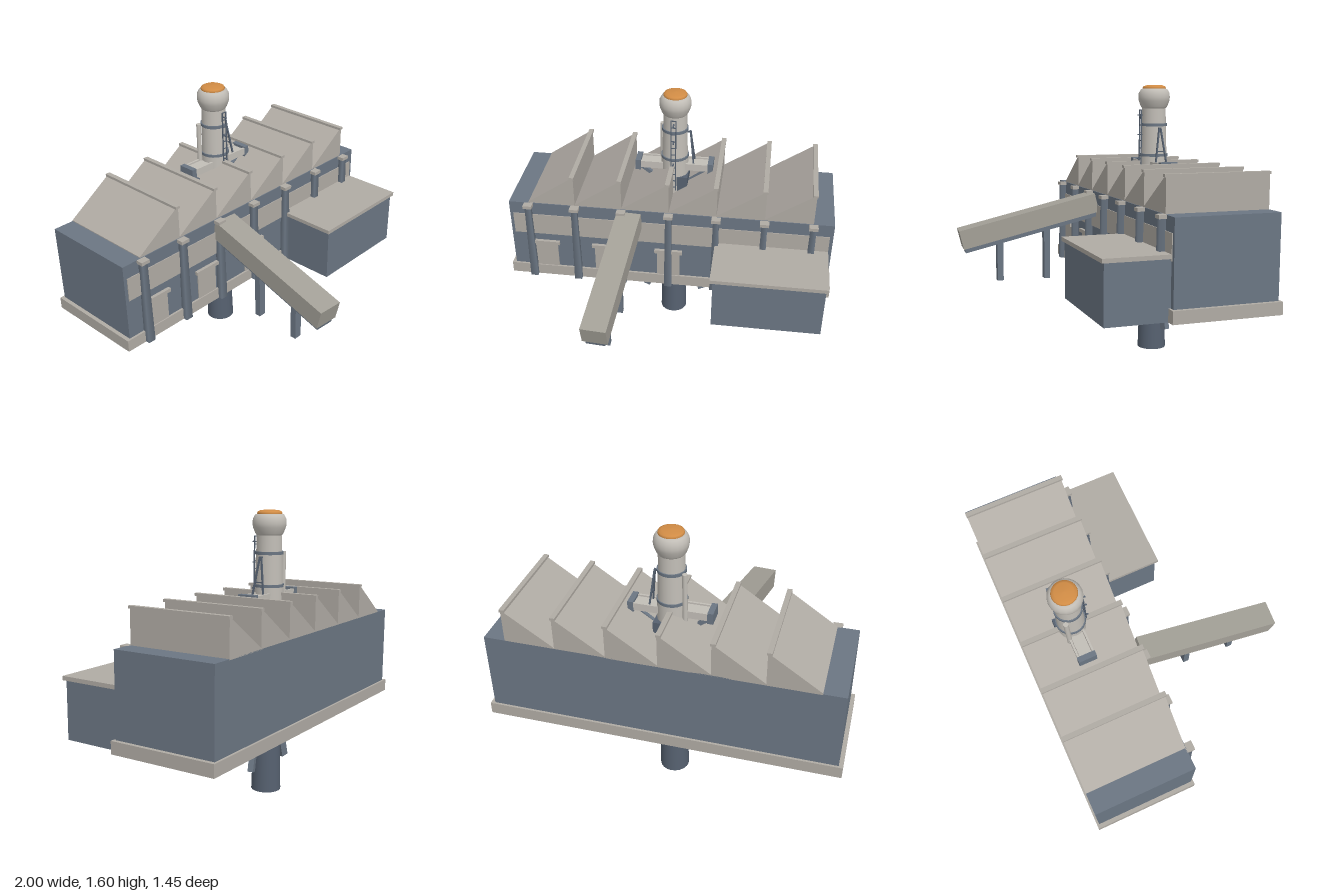
import * as THREE from 'three';

const mat = (name, color) => {
  const m = new THREE.MeshStandardMaterial({ color });
  m.name = name;
  return m;
};

export function createModel() {
  const root = new THREE.Group();
  root.name = 'factory';
  const slate = mat('slate', 0x6b7683);
  const stone = mat('stone', 0xb0aba4);
  const conveyorGrey = mat('conveyorGrey', 0xa3a097);
  const pale = mat('paleMetal', 0xc2beb7);
  const dark = mat('darkMetal', 0x566170);
  const copper = mat('copper', 0xd18c45);

  const add = (name, geo, material, parent = root) => {
    const m = new THREE.Mesh(geo, material);
    m.name = name;
    parent.add(m);
    return m;
  };
  // Box given by its limits on each axis
  const box = (name, material, [x0, x1], [y0, y1], [z0, z1], parent = root) => {
    const m = add(name, new THREE.BoxGeometry(x1 - x0, y1 - y0, z1 - z0), material, parent);
    m.position.set((x0 + x1) / 2, (y0 + y1) / 2, (z0 + z1) / 2);
    return m;
  };
  // Square bar between two points
  const bar = (name, material, a, b, w, d = w, parent = root) => {
    const p = new THREE.Vector3(...a), q = new THREE.Vector3(...b);
    const m = add(name, new THREE.BoxGeometry(w, p.distanceTo(q), d), material, parent);
    m.position.copy(p).add(q).multiplyScalar(0.5);
    m.quaternion.setFromUnitVectors(new THREE.Vector3(0, 1, 0), q.sub(p).normalize());
    return m;
  };

  // Hall
  const back = -0.715, front = -0.125;
  box('baseSlab', stone, [-1, 1], [0.42, 0.49], [-0.728, -0.112]);
  box('hallWalls', slate, [-0.977, 0.977], [0.43, 0.95], [back, front]);
  box('windowBand', stone, [-0.957, 0.957], [0.73, 0.87], [front - 0.002, front + 0.005]);

  // Sawtooth roof with ridge caps
  const pitch = 0.285;
  for (let i = 0; i < 6; i++) {
    const x = (i - 3) * pitch;
    const tooth = new THREE.Shape();
    tooth.moveTo(x, 0.945);
    tooth.lineTo(x + pitch, 0.945);
    tooth.lineTo(x + pitch, 1.14);
    tooth.lineTo(x + pitch - 0.012, 1.14);
    tooth.lineTo(x, 0.955);
    const geo = new THREE.ExtrudeGeometry(tooth, { depth: front - back - 0.005, bevelEnabled: false });
    add('roofTooth', geo, stone).position.z = back;
    box('ridgeCap', stone, [x + pitch - 0.022, x + pitch + 0.006], [1.135, 1.15], [back - 0.003, front + 0.003]);
  }

  // Tapered pilasters with caps
  for (let i = -3; i <= 3; i++) {
    const x = i * pitch;
    const geo = new THREE.CylinderGeometry(0.017, 0.023, 0.51, 4, 1, false, Math.PI / 4);
    geo.scale(Math.SQRT2, 1, Math.SQRT2);
    add('pilaster', geo.toNonIndexed(), slate).position.set(x, 0.677, -0.108);
    geo.dispose();
    box('pilasterCap', stone, [x - 0.027, x + 0.027], [0.93, 0.95], [-0.13, -0.083]);
  }

  // Doors
  for (const x of [-0.765, -0.39, 0]) {
    box('door', stone, [x - 0.07, x + 0.07], [0.49, 0.66], [front - 0.002, front + 0.006]);
    box('doorLintel', stone, [x - 0.085, x + 0.085], [0.66, 0.682], [front - 0.005, front + 0.02]);
  }

  // Annex
  box('annexWalls', slate, [0.3, 0.945], [0.42, 0.745], [front - 0.01, 0.228]);
  box('annexRoof', stone, [0.283, 0.958], [0.742, 0.765], [front - 0.01, 0.242]);

  // Sloping conveyor with tray and legs
  const conveyor = new THREE.Group();
  conveyor.name = 'conveyor';
  conveyor.rotation.order = 'YXZ';
  conveyor.rotation.set(0.239, -0.072, 0);
  conveyor.position.set(-0.297, 0.74, 0.717);
  root.add(conveyor);
  box('conveyorHousing', conveyorGrey, [-0.073, 0.073], [-0.115, 0], [-0.855, 0], conveyor);
  box('conveyorTray', slate, [-0.055, 0.055], [-0.142, -0.113], [-0.85, -0.006], conveyor);
  box('conveyorLeg', slate, [-0.303, -0.257], [0.42, 0.67], [0.45, 0.486]);
  box('conveyorLeg', slate, [-0.281, -0.235], [0.42, 0.74], [0.162, 0.198]);

  // Tower, built around its own axis
  const tower = new THREE.Group();
  tower.name = 'tower';
  tower.position.z = -0.422;
  root.add(tower);
  const turned = (name, material, pts) =>
    add(name, new THREE.LatheGeometry(pts.map(p => new THREE.Vector2(...p)), 20), material, tower);
  const drum = (name, material, rTop, rBottom, y0, y1) => {
    const m = add(name, new THREE.CylinderGeometry(rTop, rBottom, y1 - y0, 20), material, tower);
    m.position.y = (y0 + y1) / 2;
    return m;
  };
  drum('towerFoot', dark, 0.077, 0.085, 0, 0.31);
  drum('lowerCollar', pale, 0.088, 0.088, 0.3, 0.43);
  drum('towerBase', pale, 0.082, 0.084, 0.94, 1.18);
  drum('towerShaft', pale, 0.073, 0.078, 1.18, 1.37);
  drum('towerNeck', pale, 0.07, 0.072, 1.36, 1.475);
  drum('lowerBand', slate, 0.084, 0.084, 1.178, 1.194);
  drum('upperBand', slate, 0.079, 0.079, 1.357, 1.374);
  turned('towerHead', pale, [[0.07, 1.462], [0.078, 1.472], [0.091, 1.505], [0.094, 1.525],
    [0.092, 1.55], [0.08, 1.573], [0.066, 1.578], [0, 1.578]]);
  turned('copperCap', copper, [[0.067, 1.572], [0.07, 1.58], [0.066, 1.59], [0.05, 1.597], [0, 1.6]]);

  // Cross arms, their braces, and splayed lower struts
  for (const s of [-1, 1]) {
    const span = (a, b) => (s > 0 ? [a, b] : [-b, -a]);
    box('crossArm', pale, span(0.05, 0.205), [1.1, 1.14], [-0.035, 0.035], tower);
    for (const z of [-0.043, 0.043]) {
      box('armRail', pale, span(0.05, 0.205), [1.105, 1.148], [z - 0.006, z + 0.006], tower);
    }
    box('armEnd', slate, span(0.203, 0.235), [1.09, 1.155], [-0.052, 0.052], tower);
    bar('armBrace', slate, [s * 0.21, 1.095, 0], [s * 0.07, 0.99, 0], 0.022, 0.022, tower);
    bar('lowerStrut', slate, [s * 0.11, 0.45, 0], [s * 0.183, 0.152, -0.01], 0.044, 0.032, tower);
    box('collarPeg', pale, span(0.08, 0.112), [0.33, 0.35], [-0.01, 0.01], tower);
  }
  box('equipmentBox', dark, [0, 0.085], [0.96, 1.07], [-0.088, 0.08], tower);
  box('collarRib', slate, [-0.005, 0.005], [0.31, 0.43], [0.08, 0.092], tower);

  // Side pipe
  const pipe = add('sidePipe', new THREE.CylinderGeometry(0.014, 0.014, 0.42, 10), pale, tower);
  pipe.position.set(-0.082, 1.16, -0.045);

  // Ladder with stand-offs
  for (const x of [-0.014, 0.014]) box('ladderRail', dark, [x - 0.003, x + 0.003], [0.98, 1.455], [0.083, 0.089], tower);
  for (let y = 1.0; y < 1.45; y += 0.045) box('ladderRung', dark, [-0.014, 0.014], [y, y + 0.005], [0.084, 0.088], tower);
  for (const y of [1.16, 1.305, 1.42]) box('ladderBracket', dark, [-0.004, 0.004], [y, y + 0.006], [0.06, 0.104], tower);

  // A-frame on the left side
  for (const s of [-1, 1]) bar('frameLeg', dark, [0.117, 1.14, s * 0.034], [0.092, 1.35, s * 0.004], 0.009, 0.009, tower);
  bar('frameTie', dark, [0.108, 1.21, -0.024], [0.108, 1.21, 0.024], 0.006, 0.006, tower);
  bar('frameStay', dark, [0.07, 1.345, 0], [0.096, 1.345, 0], 0.008, 0.008, tower);

  return root;
}
